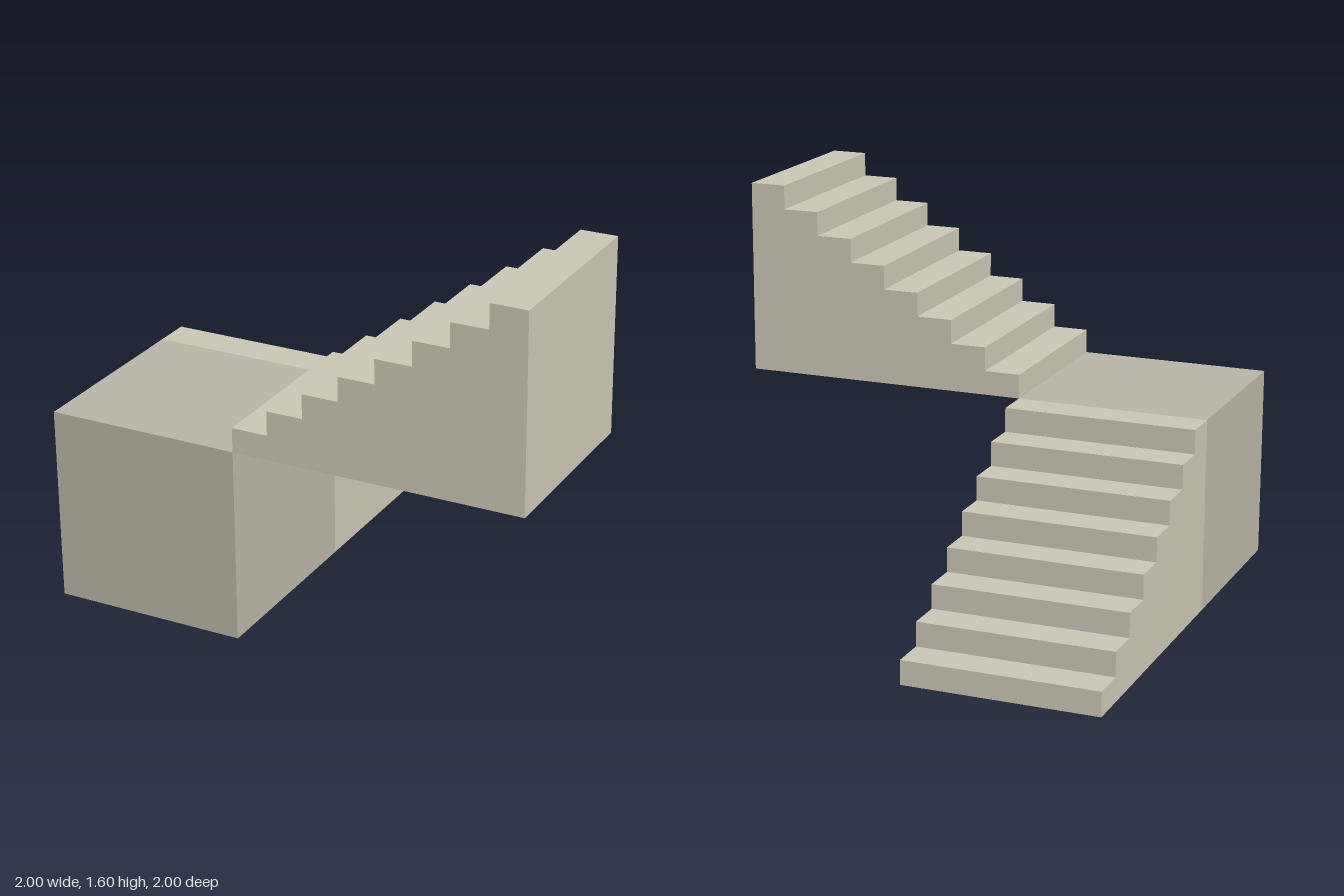
import * as THREE from 'three';

const STEPS = 8, RISE = 0.1, RUN = 0.15, WIDTH = 0.8;

// Solid flight climbing along +x from the origin, WIDTH deep along +z
function makeFlight(name, material) {
  const shape = new THREE.Shape();
  shape.moveTo(0, 0);
  shape.lineTo(STEPS * RUN, 0);
  for (let i = STEPS; i > 0; i--) {
    shape.lineTo(i * RUN, i * RISE);
    shape.lineTo((i - 1) * RUN, i * RISE);
  }
  shape.closePath();
  const geometry = new THREE.ExtrudeGeometry(shape, { depth: WIDTH, bevelEnabled: false });
  const mesh = new THREE.Mesh(geometry, material);
  mesh.name = name;
  return mesh;
}

export function createModel() {
  const group = new THREE.Group();
  group.name = 'cornerStaircase';
  const stairMaterial = new THREE.MeshStandardMaterial({ color: 0xcbc6b5 });
  const landingMaterial = new THREE.MeshStandardMaterial({ color: 0xb9b4a6 });

  // Lower flight climbs from the back towards the landing
  const lower = makeFlight('lowerFlight', stairMaterial);
  lower.rotation.y = -Math.PI / 2;
  lower.position.set(-0.2, 0, -1);

  // Square corner landing
  const landing = new THREE.Mesh(new THREE.BoxGeometry(WIDTH, 0.8, WIDTH), landingMaterial);
  landing.name = 'landing';
  landing.position.set(-0.6, 0.4, 0.6);

  // Upper flight climbs sideways from the top of the landing
  const upper = makeFlight('upperFlight', stairMaterial);
  upper.position.set(-0.2, 0.8, 0.2);

  group.add(lower, landing, upper);
  return group;
}
